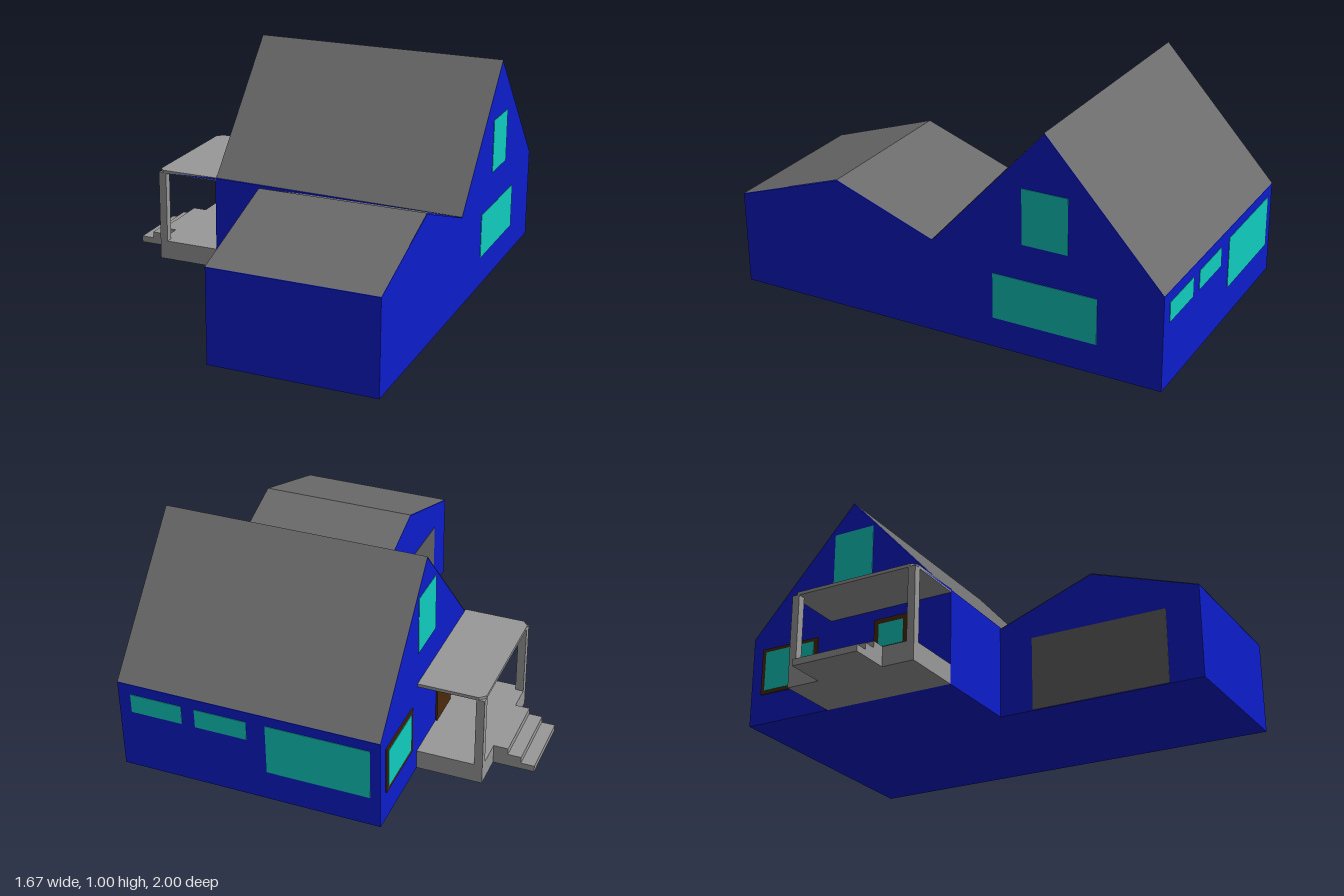
import * as THREE from 'three';

const mat = (color) => new THREE.MeshStandardMaterial({ color, flatShading: true, side: THREE.DoubleSide });
const BLUE = mat(0x0d1ccc), ROOF = mat(0x6c6c6c), STONE = mat(0x999999);
const GLASS = mat(0x10cdc0), WOOD = mat(0x4a2a0c), SHUTTER = mat(0x606060);

export function createModel() {
  const house = new THREE.Group();
  house.name = 'house';

  const add = (name, geometry, material) => {
    const mesh = new THREE.Mesh(geometry, material);
    mesh.name = name;
    house.add(mesh);
    return mesh;
  };

  // Box given by its min and max on each axis
  const box = (name, material, [x0, x1], [y0, y1], [z0, z1]) =>
    add(name, new THREE.BoxGeometry(x1 - x0, y1 - y0, z1 - z0), material)
      .position.set((x0 + x1) / 2, (y0 + y1) / 2, (z0 + z1) / 2);

  // Flat convex panel through three or four corners
  const panel = (name, material, ...corners) => {
    const g = new THREE.BufferGeometry();
    g.setAttribute('position', new THREE.Float32BufferAttribute(corners.flat(), 3));
    g.setIndex(corners.length === 4 ? [0, 1, 2, 0, 2, 3] : [0, 1, 2]);
    g.computeVertexNormals();
    add(name, g, material);
  };

  // Walls with gables: (z, y) outline extruded along x
  const gableBody = (name, x0, x1, outline) => {
    const shape = new THREE.Shape(outline.map(([z, y]) => new THREE.Vector2(z, y)));
    const g = new THREE.ExtrudeGeometry(shape, { depth: x1 - x0, bevelEnabled: false });
    g.rotateY(-Math.PI / 2).translate(x1, 0, 0);
    add(name, g, BLUE);
  };

  const L = -0.355, R = 0.83, W = 0.085, EAVE = 0.425, F = 0.04;

  // Main house and front wing
  gableBody('mainWalls', L, R, [[-1, 0], [F, 0], [F, 0.422], [-0.48, 0.996], [-1, 0.422]]);
  gableBody('wingWalls', W, R, [[F, 0], [1, 0], [1, 0.422], [0.5, 0.591], [F, 0.422]]);

  // Roof slopes
  panel('mainRoofFront', ROOF, [L, 0.437, 0.03], [R, EAVE, F], [R, 1, -0.48], [L, 1, -0.48]);
  panel('mainRoofBack', ROOF, [R, EAVE, -1], [L, EAVE, -1], [L, 1, -0.48], [R, 1, -0.48]);
  panel('wingRoofFront', ROOF, [W, EAVE, 1], [R, EAVE, 1], [R, 0.595, 0.5], [W, 0.595, 0.5]);
  panel('wingRoofBack', ROOF, [R, EAVE, F], [W, EAVE, F], [W, 0.595, 0.5], [R, 0.595, 0.5]);

  // Tapered strip of wall showing along the front eave
  panel('eaveStripTop', BLUE, [L, 0.437, F], [R, EAVE, F], [L, 0.437, 0.03]);
  panel('eaveStripFront', BLUE, [L, 0.42, F], [R, 0.42, F], [R, EAVE, F], [L, 0.437, F]);
  panel('porchEaveStrip', BLUE, [-0.6, 0.428, 0.042], [L, 0.43, 0.042], [L, 0.44, 0.042]);

  // Windows on the right gable
  const T = 0.002;
  box('rightUpperWindow', GLASS, [R - T, R + T], [0.5, 0.745], [-0.585, -0.38]);
  box('rightLowerWindow', GLASS, [R - T, R + T], [0.135, 0.34], [-0.715, -0.245]);

  // Windows along the back wall
  for (const [x, y] of [
    [[0.536, 0.773], [0.284, 0.373]],
    [[0.238, 0.475], [0.284, 0.373]],
    [[-0.31, 0.152], [0.14, 0.376]],
  ]) box('backWindow', GLASS, x, y, [-1 - T, -1 + T]);

  // Left gable: upper window, framed window and door
  box('leftUpperWindow', GLASS, [L - T, L + T], [0.59, 0.855], [-0.575, -0.37]);
  box('leftWindowFrame', WOOD, [L - 0.006, L], [0.14, 0.36], [-0.945, -0.645]);
  box('leftWindowGlass', GLASS, [L - 0.008, L], [0.157, 0.343], [-0.925, -0.665]);
  box('door', WOOD, [L - 0.008, L], [0.09, 0.375], [-0.345, -0.17]);
  box('doorGlass', GLASS, [L - 0.01, L], [0.24, 0.35], [-0.32, -0.195]);

  // Garage door on the left side of the wing
  box('garageDoor', SHUTTER, [W - T, W + T], [0.003, 0.345], [0.2, 0.844]);

  // Porch: floor, steps, posts
  const P = -0.65, PB = -0.58;
  box('porchFloor', STONE, [P, L], [0, 0.09], [PB, F]);
  [-0.715, -0.775, -0.835].forEach((x, i) =>
    box('porchStep', STONE, [x, i ? x + 0.06 : P], [0, 0.09 - i * 0.03], [-0.425, -0.11]));
  for (const z of [PB, F - 0.035]) box('porchPost', STONE, [P, P + 0.037], [0.09, 0.427], [z, z + 0.035]);

  // Porch roof: thin slab with clipped outer corners
  const c = 0.025;
  const slab = new THREE.Shape([
    [L, -F], [L, -PB], [P + c, -PB], [P, -PB - c], [P, -F + c], [P + c, -F],
  ].map(([x, y]) => new THREE.Vector2(x, y)));
  const slabGeometry = new THREE.ExtrudeGeometry(slab, { depth: 0.015, bevelEnabled: false });
  slabGeometry.rotateX(-Math.PI / 2).translate(0, 0.425, 0);
  add('porchRoof', slabGeometry, STONE);

  return house;
}
